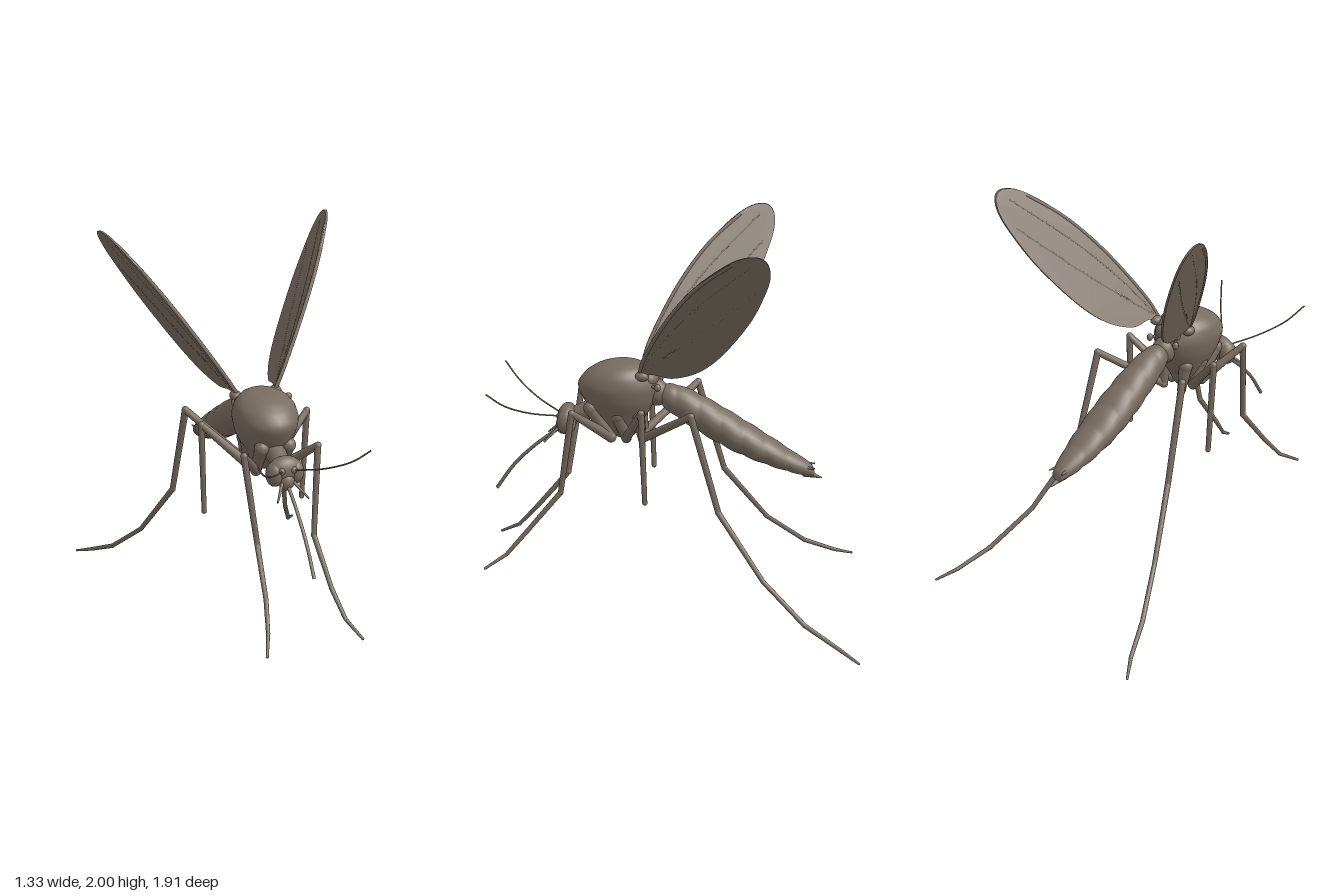
import * as THREE from 'three';

const chitin = new THREE.MeshStandardMaterial({ color: 0x786c60 });
chitin.name = 'brown chitin';

const V = (x, y, z) => new THREE.Vector3(x, y, z);

function add(parent, name, geometry) {
  const mesh = new THREE.Mesh(geometry, chitin);
  mesh.name = name;
  parent.add(mesh);
  return mesh;
}

function ellipsoid(parent, name, x, y, z, rx, ry, rz) {
  const g = new THREE.SphereGeometry(1, 20, 14);
  g.scale(rx, ry, rz);
  return add(parent, name, g.translate(x, y, z));
}

// Smooth body from stations [y, z, halfX, halfOther]; rings lie flat or upright
function loft(stations, upright, steps, ripple = () => 1, sides = 28) {
  const centre = new THREE.CatmullRomCurve3(stations.map(s => V(0, s[0], s[1])));
  const size = new THREE.CatmullRomCurve3(stations.map(s => V(s[2], s[3], 0)));
  const pos = [], idx = [];
  for (let i = 0; i <= steps; i++) {
    const c = centre.getPoint(i / steps), r = size.getPoint(i / steps), k = ripple(i / steps);
    for (let j = 0; j < sides; j++) {
      const a = j / sides * Math.PI * 2;
      const u = Math.max(r.x, 0.001) * k * Math.cos(a), v = Math.max(r.y, 0.001) * k * Math.sin(a);
      pos.push(u, c.y + (upright ? v : 0), c.z + (upright ? 0 : v));
      if (i < steps) {
        const n = (j + 1) % sides, p = i * sides;
        idx.push(p + j, p + n, p + sides + j, p + n, p + sides + n, p + sides + j);
      }
    }
  }
  const g = new THREE.BufferGeometry();
  g.setAttribute('position', new THREE.Float32BufferAttribute(pos, 3));
  g.setIndex(idx);
  g.computeVertexNormals();
  return g;
}

// Tapered rod between two points
function rod(parent, name, a, b, ra, rb) {
  const dir = b.clone().sub(a);
  const g = new THREE.CylinderGeometry(rb, ra, dir.length(), 10);
  g.applyQuaternion(new THREE.Quaternion().setFromUnitVectors(V(0, 1, 0), dir.clone().normalize()));
  const m = a.clone().add(b).multiplyScalar(0.5);
  return add(parent, name, g.translate(m.x, m.y, m.z));
}

// Jointed limb from points [x, y, z, radius]
function limb(parent, name, points, s) {
  const leg = new THREE.Group();
  leg.name = name;
  points.forEach((p, i) => {
    const a = V(p[0] * s, p[1], p[2]);
    ellipsoid(leg, 'joint', a.x, a.y, a.z, p[3] * 1.05, p[3] * 1.05, p[3] * 1.05);
    const q = points[i + 1];
    if (q) rod(leg, 'segment', a, V(q[0] * s, q[1], q[2]), p[3], q[3]);
  });
  parent.add(leg);
}

function tube(parent, name, points, r) {
  const curve = new THREE.CatmullRomCurve3(points.map(p => V(...p)));
  return add(parent, name, new THREE.TubeGeometry(curve, 24, r, 8));
}

const LEGS = {
  frontLeg: [[.07, 1.08, .42, .035], [.06, .925, .32, .027], [.19, 1.09, .5, .017], [.148, .65, .57, .014],
    [.17, .44, .745, .012], [.2, .32, .85, .01], [.245, .258, .955, .007]],
  middleLeg: [[.08, 1.05, .28, .04], [.07, .925, .24, .025], [.28, 1.13, .145, .017], [.265, .655, .13, .013]],
  hindLeg: [[.07, 1.05, .18, .035], [.06, .92, .16, .022], [.28, 1.12, -.1, .018], [.31, .63, -.24, .015],
    [.42, .315, -.47, .012], [.525, .135, -.68, .012], [.6, .05, -.85, .01], [.66, .008, -.945, .006]],
};

// Wing outline as [z, y]
const WING = [[.17, 1.27], [.15, 1.36], [.09, 1.48], [0, 1.645], [-.15, 1.835], [-.3, 1.962], [-.4, 1.998],
  [-.46, 1.975], [-.478, 1.9], [-.45, 1.79], [-.38, 1.63], [-.25, 1.435], [-.13, 1.32], [0, 1.268], [.1, 1.28]];
const wingX = (y, z) => 0.14 + 0.52 * (y - 1.28) - 0.22 * z;

function wing(parent, s) {
  const group = new THREE.Group();
  group.name = s > 0 ? 'leftWing' : 'rightWing';
  const flat = (z, y) => new THREE.Vector2(-s * z, y);
  const shape = new THREE.Shape();
  shape.moveTo(-s * WING[0][0], WING[0][1]);
  shape.splineThru([...WING.slice(1), WING[0]].map(p => flat(...p)));
  // small slit near the root
  shape.holes.push(new THREE.Path([flat(.04, 1.39), flat(-.02, 1.45), flat(0, 1.415)]));
  const g = new THREE.ExtrudeGeometry(shape, { depth: 0.012, bevelEnabled: false, curveSegments: 60 });
  const p = g.attributes.position;
  for (let i = 0; i < p.count; i++) {
    const y = p.getY(i), z = -s * p.getX(i), w = p.getZ(i) - 0.006;
    p.setXYZ(i, s * wingX(y, z) + w * s, y, z);
  }
  g.computeVertexNormals();
  add(group, 'membrane', g);
  // leading edge and inner veins
  const veins = [
    [.01, [.17, 1.27], [.145, 1.36], [0, 1.635], [-.15, 1.825], [-.3, 1.95]],
    [.007, [.15, 1.3], [.06, 1.45], [-.12, 1.68], [-.4, 1.95]],
    [.007, [.14, 1.3], [.02, 1.4], [-.2, 1.6], [-.42, 1.82]],
  ];
  for (const [r, ...pts] of veins) tube(group, 'vein', pts.map(([z, y]) => [s * wingX(y, z), y, z]), r);
  ellipsoid(group, 'wingRoot', s * .105, 1.265, .155, .03, .025, .035);
  parent.add(group);
}

export function createModel() {
  const model = new THREE.Group();
  model.name = 'mosquito';

  // Humped thorax, stacked from top to bottom
  add(model, 'thorax', loft([
    [1.316, .26, .001, .001], [1.312, .26, .06, .07], [1.29, .268, .11, .128], [1.25, .28, .145, .175],
    [1.19, .285, .157, .205], [1.12, .28, .145, .185], [1.05, .275, .115, .145], [.98, .265, .085, .09],
    [.92, .255, .05, .05], [.9, .25, .001, .001]], false, 40));
  ellipsoid(model, 'scutellum', 0, 1.23, .125, .08, .045, .045);
  ellipsoid(model, 'waist', 0, 1.15, .09, .06, .07, .06);
  rod(model, 'neck', V(0, 1.06, .4), V(0, 1.01, .54), .055, .04);

  // Segmented abdomen, from tail to waist
  add(model, 'abdomen', loft([
    [.735, -.715, .001, .001], [.75, -.7, .035, .03], [.795, -.6, .068, .053], [.843, -.5, .087, .07],
    [.893, -.4, .098, .084], [.946, -.3, .1, .094], [1.003, -.2, .095, .098], [1.06, -.1, .087, .095],
    [1.112, 0, .072, .08], [1.135, .06, .055, .058]], true, 96,
  t => 0.97 + 0.06 * Math.abs(Math.sin(t * Math.PI * 8))));
  rod(model, 'tailSpike', V(0, .74, -.66), V(0, .712, -.752), .025, .003);

  // Head and mouthparts
  ellipsoid(model, 'head', 0, 1.01, .545, .088, .07, .052);
  ellipsoid(model, 'face', 0, .96, .57, .04, .045, .04);
  tube(model, 'proboscis', [[0, .95, .585], [0, .848, .72], [0, .74, .83], [0, .608, .925]], .009);

  for (const s of [1, -1]) {
    ellipsoid(model, 'eye', s * .052, .995, .547, .044, .062, .05);
    ellipsoid(model, 'antennaBase', s * .03, 1.02, .585, .018, .018, .016);
    tube(model, 'antenna', [[s * .03, 1.02, .59], [s * .13, 1.065, .72], [s * .22, 1.13, .83], [s * .28, 1.21, .91]], .004);
    rod(model, 'palp', V(s * .03, .96, .59), V(s * .08, .895, .66), .009, .004);
    rod(model, 'tailSpike', V(s * .025, .775, -.64), V(s * .04, .775, -.715), .015, .003);
    rod(model, 'haltereStalk', V(s * .06, 1.2, .12), V(s * .085, 1.2, .085), .01, .008);
    ellipsoid(model, 'haltere', s * .085, 1.2, .08, .016, .02, .016);
    for (const name in LEGS) limb(model, name, LEGS[name], s);
    wing(model, s);
  }
  return model;
}
